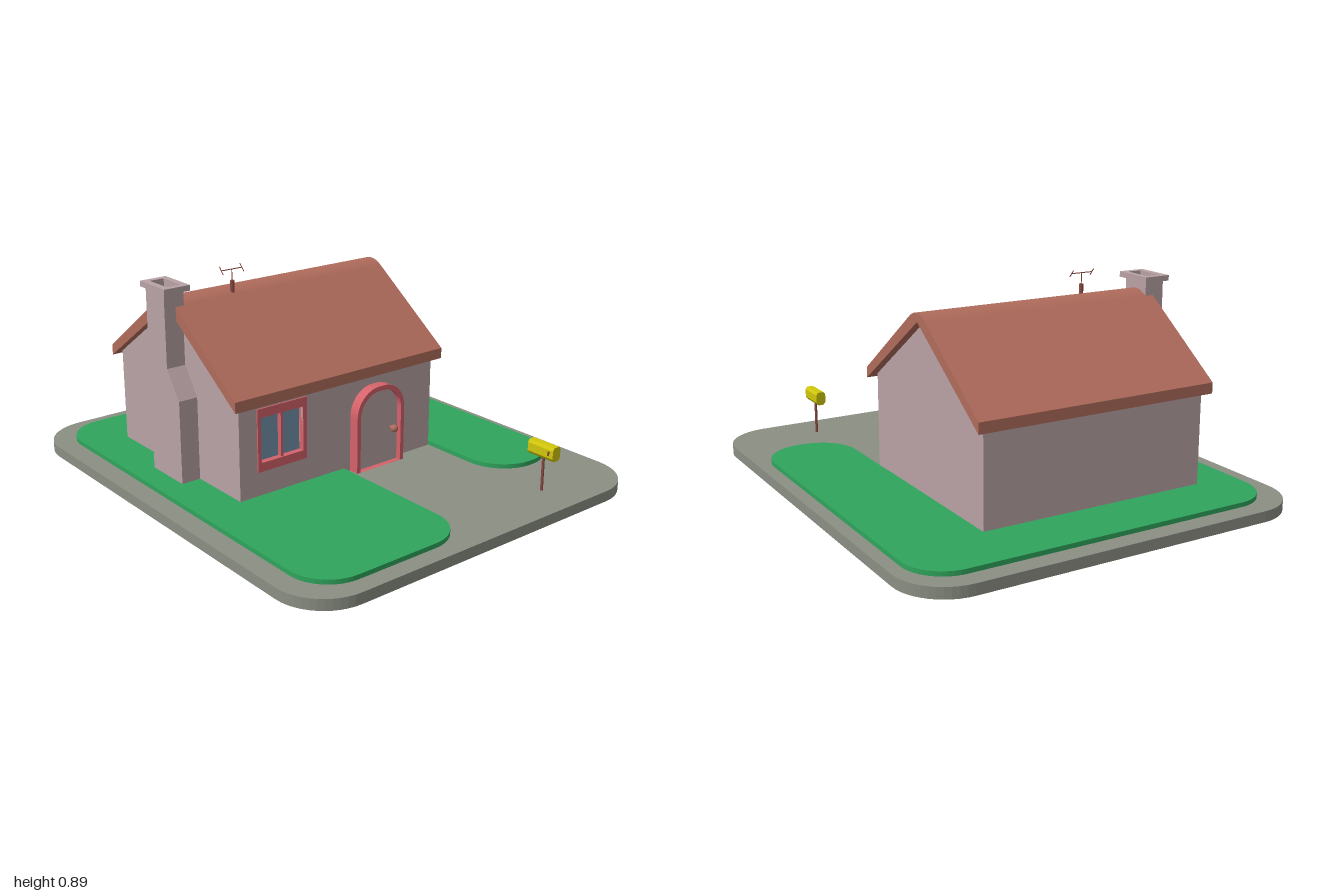
import * as THREE from 'three';

const paint = (name, color) => {
  const m = new THREE.MeshStandardMaterial({ color });
  m.name = name;
  return m;
};

// Polygon of [x, y, cornerRadius] points; right-angled corners become quarter rounds
function roundedShape(points, Type = THREE.Shape) {
  const s = new Type();
  const n = points.length;
  points.forEach(([x, y, r = 0], i) => {
    const c = new THREE.Vector2(x, y);
    const toward = (j, d) => {
      const q = new THREE.Vector2(points[j][0], points[j][1]);
      return q.sub(c).normalize().multiplyScalar(d).add(c);
    };
    const prev = (i + n - 1) % n, next = (i + 1) % n;
    const a = toward(prev, r), b = toward(next, r);
    if (i === 0) s.moveTo(a.x, a.y); else s.lineTo(a.x, a.y);
    if (r > 0) {
      const h1 = toward(prev, r * 0.448), h2 = toward(next, r * 0.448);
      s.bezierCurveTo(h1.x, h1.y, h2.x, h2.y, b.x, b.y);
    }
  });
  s.closePath();
  return s;
}

const rect = (x0, y0, x1, y1, r = 0) => [[x0, y0, r], [x1, y0, r], [x1, y1, r], [x0, y1, r]];

function withHoles(outer, ...holes) {
  const s = roundedShape(outer);
  s.holes = holes.map((h) => roundedShape(h, THREE.Path));
  return s;
}

const extrude = (shape, depth) =>
  new THREE.ExtrudeGeometry(shape, { depth, bevelEnabled: false, curveSegments: 12 });
// Plan outline (x, -z) raised from y0 to y1
const slab = (shape, y0, y1) => extrude(shape, y1 - y0).rotateX(-Math.PI / 2).translate(0, y0, 0);
// Side outline (-z, y) pushed out from x0 to x1
const sidePlate = (shape, x0, x1) => extrude(shape, x1 - x0).rotateY(Math.PI / 2).translate(x0, 0, 0);
// Front outline (x, y) running from z0 to z1
const gable = (shape, z0, z1) => extrude(shape, z1 - z0).translate(0, 0, z0);
const box = (x0, x1, y0, y1, z0, z1) =>
  new THREE.BoxGeometry(x1 - x0, y1 - y0, z1 - z0)
    .translate((x0 + x1) / 2, (y0 + y1) / 2, (z0 + z1) / 2);
// Round bar between two points
function rod(a, b, r, sides = 10) {
  const p = new THREE.Vector3(...a), q = new THREE.Vector3(...b);
  const d = q.clone().sub(p);
  const g = new THREE.CylinderGeometry(r, r, d.length(), sides);
  g.applyQuaternion(new THREE.Quaternion().setFromUnitVectors(
    new THREE.Vector3(0, 1, 0), d.normalize()));
  p.add(q).multiplyScalar(0.5);
  return g.translate(p.x, p.y, p.z);
}

export function createModel() {
  const stone = paint('stone', 0x8b8f83);
  const grass = paint('grass green', 0x2fa55c);
  const wall = paint('wall mauve', 0xb9a2a5);
  const tile = paint('roof tile', 0xb06c5c);
  const red = paint('trim red', 0xd4636a);
  const glass = paint('window glass', 0x7393a9);
  const yellow = paint('mailbox yellow', 0xd0c60c);
  const brown = paint('dark brown', 0x8c4b43);

  const model = new THREE.Group();
  model.name = 'cottage';
  const add = (name, geometry, material, parent = model) => {
    const m = new THREE.Mesh(geometry, material);
    m.name = name;
    parent.add(m);
    return m;
  };
  const group = (name) => {
    const g = new THREE.Group();
    g.name = name;
    model.add(g);
    return g;
  };

  // Ground plate and C-shaped lawn
  add('groundPlate', slab(roundedShape(rect(-1, -0.852, 1, 0.852, 0.21)), 0, 0.045), stone);
  add('lawn', slab(roundedShape([
    [-0.92, -0.765, 0.17], [0.925, -0.765, 0.17], [0.925, -0.06, 0.17], [0.12, -0.06],
    [0.12, 0.422], [0.63, 0.422, 0.18], [0.63, 0.797, 0.18], [-0.92, 0.797, 0.17],
  ]), 0.04, 0.064), grass);

  // House body, plus a door-side wall with an opening for the window
  const house = group('house');
  const ridgeX = -0.234;
  add('houseBody', gable(roundedShape([
    [-0.668, 0.04], [0.17, 0.04], [0.17, 0.45], [0.2, 0.45], [0.2, 0.467],
    [ridgeX, 0.775], [-0.668, 0.467],
  ]), -0.42, 0.58), wall, house);
  add('doorSideWall', sidePlate(withHoles(
    rect(-0.58, 0.04, 0.42, 0.45), rect(-0.48, 0.2, -0.275, 0.392)), 0.17, 0.2), wall, house);

  // Roof with a softly rounded ridge
  const roof = new THREE.Shape();
  roof.moveTo(-0.695, 0.445);
  roof.lineTo(ridgeX, 0.765);
  roof.lineTo(0.228, 0.445);
  roof.lineTo(0.228, 0.49);
  roof.lineTo(ridgeX + 0.066, 0.776);
  roof.quadraticCurveTo(ridgeX, 0.824, ridgeX - 0.066, 0.776);
  roof.lineTo(-0.695, 0.49);
  roof.closePath();
  add('roof', gable(roof, -0.455, 0.613), tile, house);

  // Window: frame, sash with mullion, and glass set into the opening
  const win = group('window');
  add('windowFrame', sidePlate(withHoles(
    rect(-0.496, 0.166, -0.256, 0.428), rect(-0.48, 0.203, -0.275, 0.39)), 0.18, 0.206), red, win);
  add('windowMullion', box(0.176, 0.2, 0.203, 0.39, 0.371, 0.381), red, win);
  add('windowGlass', box(0.172, 0.179, 0.2, 0.392, 0.275, 0.48), glass, win);

  // Arched doorway
  const door = group('door');
  const arch = (z0, z1, top, r) => [[-z1, 0.045], [-z0, 0.045], [-z0, top, r], [-z1, top, r]];
  add('doorFrame', sidePlate(withHoles(
    arch(-0.23, 0.026, 0.402, 0.115),
    [[-0.008, 0.0455], [0.212, 0.0455], [0.212, 0.382, 0.1], [-0.008, 0.382, 0.1]],
  ), 0.195, 0.246), red, door);
  add('doorPanel', sidePlate(roundedShape(arch(-0.22, 0.016, 0.39, 0.105)), 0.195, 0.222), wall, door);
  add('doorKnobStem', rod([0.22, 0.197, -0.177], [0.245, 0.197, -0.177], 0.007), tile, door);
  add('doorKnob', new THREE.SphereGeometry(0.016, 20, 14).translate(0.246, 0.197, -0.177), tile, door);

  // Chimney: stepped stack, hollow top and cap
  const chimney = group('chimney');
  add('chimneyStack', gable(roundedShape([
    [-0.3, 0.04], [-0.085, 0.04], [-0.085, 0.415], [-0.165, 0.53], [-0.165, 0.76], [-0.3, 0.76],
  ]), 0.575, 0.664), wall, chimney);
  const flue = rect(-0.297, -0.645, -0.171, -0.582);
  add('chimneyFlue', slab(withHoles(rect(-0.3, -0.664, -0.165, -0.575), flue), 0.76, 0.836), wall, chimney);
  add('chimneyCap', slab(withHoles(rect(-0.325, -0.674, -0.145, -0.556), flue), 0.835, 0.858), wall, chimney);

  // Roof antenna
  const antenna = group('antenna');
  add('antennaBase', rod([-0.185, 0.78, 0.33], [-0.185, 0.832, 0.33], 0.009), brown, antenna);
  add('antennaPole', rod([-0.185, 0.83, 0.33], [-0.187, 0.878, 0.33], 0.002, 6), brown, antenna);
  add('antennaBar', rod([-0.187, 0.878, 0.28], [-0.187, 0.878, 0.38], 0.002, 6), brown, antenna);
  for (const z of [0.28, 0.38]) {
    add('antennaTip', rod([-0.2, 0.892, z], [-0.175, 0.864, z], 0.002, 6), brown, antenna);
  }

  // Mailbox on a post
  const mailbox = group('mailbox');
  add('mailboxPost', rod([0.83, 0.04, -0.445], [0.83, 0.2, -0.445], 0.006), brown, mailbox);
  add('mailboxBody', sidePlate(roundedShape([
    [0.433, 0.19], [0.457, 0.19], [0.467, 0.203], [0.467, 0.238],
    [0.459, 0.25], [0.431, 0.25], [0.423, 0.238], [0.423, 0.203],
  ]), 0.765, 0.894), yellow, mailbox);
  add('mailboxFlag', box(0.87, 0.876, 0.214, 0.232, -0.424, -0.418), brown, mailbox);

  return model;
}
